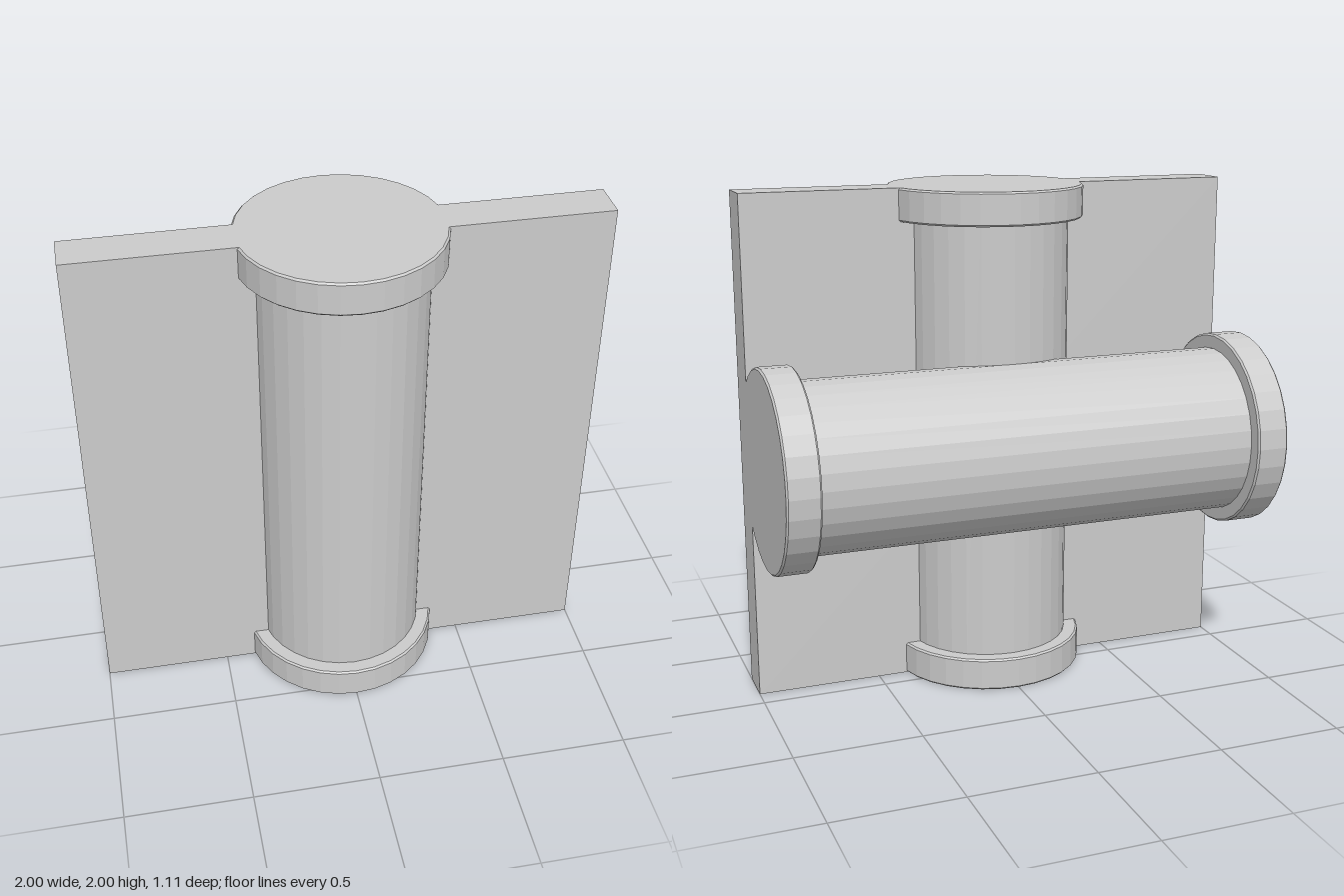
import * as THREE from 'three';

const SIDES = 32;
const PIPE_R = 0.332;   // shaft radius
const FLANGE_R = 0.39;  // end collar radius
const FLANGE_H = 0.13;  // end collar thickness
const BEVEL = 0.007;
const OFFSET = 0.166;   // distance of each pipe axis from z = 0

const material = new THREE.MeshStandardMaterial({ color: 0xcccccc, flatShading: true });

function add(parent, name, geometry) {
  const mesh = new THREE.Mesh(geometry, material);
  mesh.name = name;
  parent.add(mesh);
  return mesh;
}

// Collar with softly bevelled rims, centred on its own axis
function flangeGeometry() {
  const h = FLANGE_H / 2;
  const profile = [
    [0, -h], [FLANGE_R - BEVEL, -h], [FLANGE_R, -h + BEVEL],
    [FLANGE_R, h - BEVEL], [FLANGE_R - BEVEL, h], [0, h],
  ].map(([r, y]) => new THREE.Vector2(r, y));
  return new THREE.LatheGeometry(profile, SIDES);
}

// Two-unit pipe along y with a collar at each end
function createPipe(name) {
  const pipe = new THREE.Group();
  pipe.name = name;
  add(pipe, 'shaft', new THREE.CylinderGeometry(PIPE_R, PIPE_R, 2 - FLANGE_H, SIDES, 1, true));
  for (const side of [-1, 1]) {
    const flange = add(pipe, side > 0 ? 'upperFlange' : 'lowerFlange', flangeGeometry());
    flange.position.y = side * (1 - FLANGE_H / 2);
  }
  return pipe;
}

export function createModel() {
  const model = new THREE.Group();
  model.name = 'crossedPipes';

  // Square panel running through the axis of the upright pipe
  const panel = add(model, 'panel', new THREE.BoxGeometry(2, 2, 0.162));
  panel.position.set(0, 1, OFFSET + 0.001);

  // Upright pipe in front
  const upright = createPipe('uprightPipe');
  upright.position.set(0, 1, OFFSET);

  // Level pipe crossing behind it
  const level = createPipe('levelPipe');
  level.rotation.z = Math.PI / 2;
  level.position.set(0, 1, -OFFSET);

  model.add(upright, level);
  return model;
}
